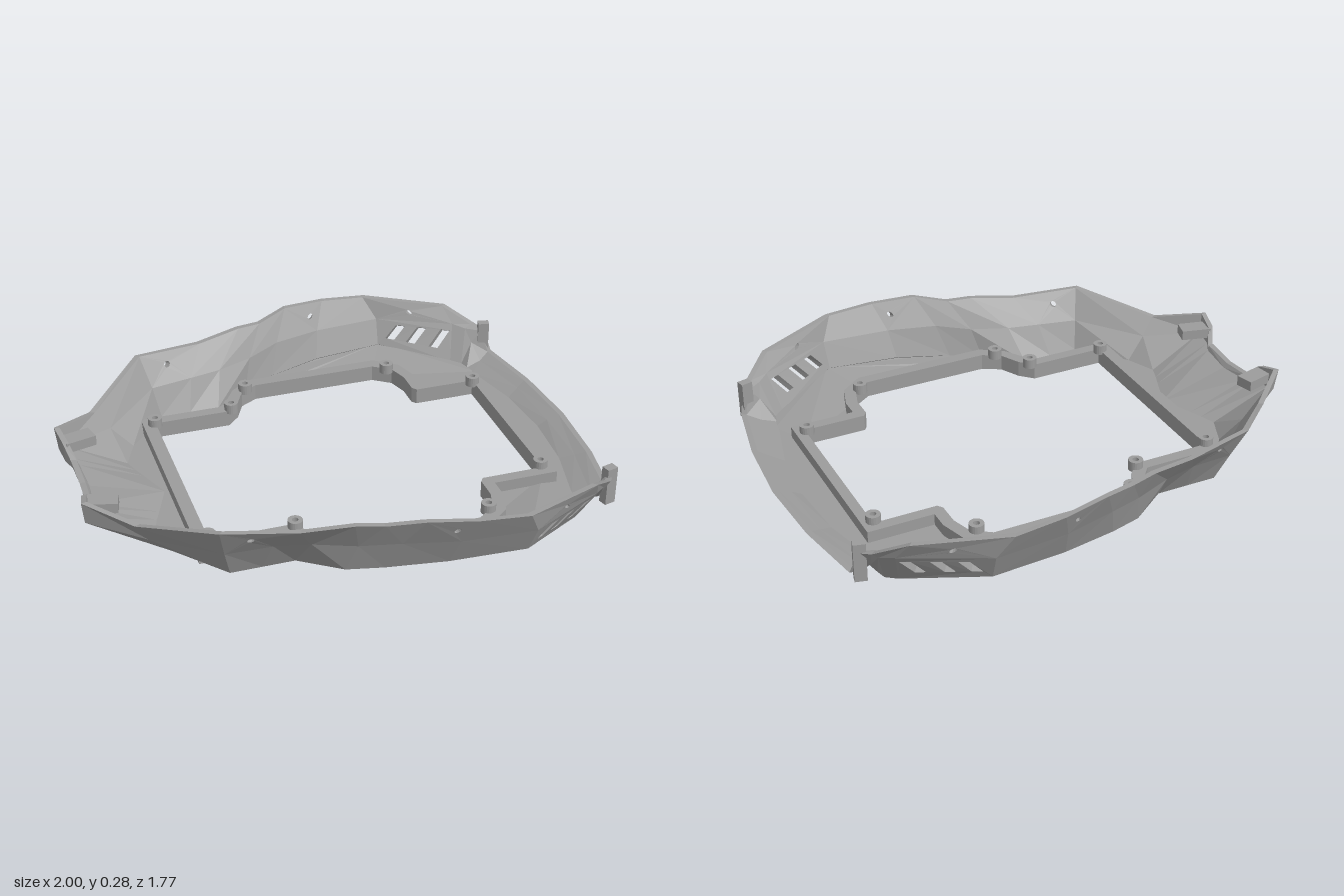
import * as THREE from 'three';
import { mergeGeometries } from 'three/addons/utils/BufferGeometryUtils.js';

const V = (x, y, z) => new THREE.Vector3(x, y, z);
// the floor lifts slightly towards the wide sides
const lift = (z) => 0.04 * Math.min(1, Math.max(0, (Math.abs(z) - 0.65) / 0.14));

// wall stations from the front lip round to the back: base (x, z), middle and rim (x, y, z)
const stations = [
  [[0.90, 0], [0.95, 0.03, 0], [0.995, 0.06, 0]],
  [[0.88, 0.25], [0.94, 0.03, 0.28], [0.975, 0.06, 0.30]],
  [[0.82, 0.49], [0.88, 0.03, 0.55], [0.925, 0.06, 0.58]],
  [[0.81, 0.54], [0.86, 0.09, 0.61], [0.90, 0.15, 0.61]],
  [[0.80, 0.58], [0.845, 0.14, 0.65], [0.87, 0.165, 0.655]],
  [[0.76, 0.61], [0.80, 0.15, 0.69], [0.77, 0.225, 0.745]],
  [[0.49, 0.79], [0.50, 0.15, 0.84], [0.45, 0.25, 0.885]],
  [[0.20, 0.765], [0.22, 0.15, 0.82], [0.26, 0.265, 0.88]],
  [[-0.02, 0.71], [0.02, 0.15, 0.77], [0.08, 0.275, 0.845]],
  [[-0.15, 0.66], [-0.12, 0.13, 0.71], [-0.05, 0.25, 0.79]],
  [[-0.30, 0.55], [-0.27, 0.13, 0.65], [-0.15, 0.255, 0.765]],
  [[-0.42, 0.55], [-0.40, 0.13, 0.62], [-0.33, 0.237, 0.72]],
  [[-0.54, 0.55], [-0.57, 0.12, 0.60], [-0.60, 0.25, 0.66]],
  [[-0.70, 0.36], [-0.79, 0.09, 0.39], [-0.84, 0.17, 0.41]],
  [[-0.75, 0.24], [-0.99, 0.12, 0.26], [-1.0, 0.21, 0.27]],
  [[-0.73, 0.18], [-0.98, 0.11, 0.18], [-0.985, 0.19, 0.19]],
  [[-0.71, 0.13], [-0.96, 0.10, 0.14], [-0.965, 0.13, 0.15]],
  [[-0.66, 0], [-0.95, 0.09, 0], [-0.96, 0.12, 0]],
];

// closed cross-section: up the outside, over the rim, down the inside
const sections = stations.map(([b, m, r]) => {
  const outer = [V(b[0], lift(b[1]), b[1]), V(...m), V(...r)];
  const inner = outer.map((p, i) => {
    const d = V(-p.x, 0, -p.z).normalize().multiplyScalar([0.015, 0.025, 0.022][i]);
    return p.clone().add(d).add(V(0, [0.02, 0.012, 0][i], 0));
  });
  return [...outer, ...inner.reverse()];
});

// reverse the corner order of a non-indexed geometry
function flip(geo) {
  const p = geo.attributes.position, a = V(), b = V();
  for (let i = 0; i < p.count; i += 3) {
    a.fromBufferAttribute(p, i + 1);
    b.fromBufferAttribute(p, i + 2);
    p.setXYZ(i + 1, b.x, b.y, b.z);
    p.setXYZ(i + 2, a.x, a.y, a.z);
  }
  geo.computeVertexNormals();
  return geo;
}

const path = (points) => new THREE.Path(points.map((p) => new THREE.Vector2(...p)));
const slot = (u) => path([[u, 0.82], [u + 0.12, 0.82], [u + 0.27, 0.3], [u + 0.15, 0.3]]);
const dot = (u, v, w, h) => {
  const pts = [];
  for (let i = 0; i < 10; i++) {
    const t = (i / 10) * Math.PI * 2;
    pts.push([u + w * Math.cos(t), v + h * Math.sin(t)]);
  }
  return path(pts);
};
// pierced wall panels, keyed by station and row
const pierced = {
  '5,0': [slot(0.03), slot(0.34), slot(0.62)],
  '5,1': [dot(0.5, 0.45, 0.035, 0.13)],
  '7,1': [dot(0.25, 0.55, 0.06, 0.1)],
  '11,1': [dot(0.57, 0.6, 0.055, 0.1)],
};

// a unit slab with holes, mapped between the inner and outer skins
function panel(i, k, holes) {
  const shape = new THREE.Shape(path([[0, 0], [1, 0], [1, 1], [0, 1]]).getPoints());
  shape.holes = holes;
  const geo = new THREE.ExtrudeGeometry(shape, { depth: 1, bevelEnabled: false });
  geo.deleteAttribute('uv');
  const p = geo.attributes.position, a = sections[i], b = sections[i + 1];
  const at = (lo, up, u, v) =>
    a[lo].clone().lerp(b[lo], u).lerp(a[up].clone().lerp(b[up], u), v);
  for (let n = 0; n < p.count; n++) {
    const u = p.getX(n), v = p.getY(n), w = p.getZ(n);
    const q = at(5 - k, 4 - k, u, v).lerp(at(k, k + 1, u, v), w);
    p.setXYZ(n, q.x, q.y, q.z);
  }
  return flip(geo);
}

function wallHalf() {
  const pos = [], parts = [];
  for (let i = 0; i < sections.length - 1; i++) {
    const a = sections[i], b = sections[i + 1];
    for (let k = 0; k < 6; k++) {
      const row = k < 2 ? k : 4 - k;
      if (k !== 2 && k !== 5 && pierced[`${i},${row}`]) continue;
      const n = (k + 1) % 6;
      for (const q of [a[k], a[n], b[n], a[k], b[n], b[k]]) pos.push(q.x, q.y, q.z);
    }
  }
  const geo = new THREE.BufferGeometry();
  geo.setAttribute('position', new THREE.Float32BufferAttribute(pos, 3));
  geo.computeVertexNormals();
  parts.push(geo);
  for (const key in pierced) parts.push(panel(...key.split(',').map(Number), pierced[key]));
  return mergeGeometries(parts);
}

// half outline (z >= 0) closed by its mirror image
const closed = (half) => [...half, ...half.filter((p) => p[1] > 0).reverse().map(([x, z]) => [x, -z])];

function plate(outer, hole, depth) {
  const shape = new THREE.Shape(closed(outer).map((p) => new THREE.Vector2(...p)));
  shape.holes.push(path(closed(hole)));
  return new THREE.ExtrudeGeometry(shape, { depth, bevelEnabled: false }).rotateX(-Math.PI / 2);
}

export function createModel() {
  const model = new THREE.Group();
  const grey = new THREE.MeshStandardMaterial({ color: 0x9c9c9c });
  grey.name = 'grey plastic';
  const add = (name, geo, x = 0, y = 0, z = 0) => {
    const mesh = new THREE.Mesh(geo, grey);
    mesh.name = name;
    mesh.position.set(x, y, z);
    model.add(mesh);
    return mesh;
  };

  // faceted side walls
  add('leftWall', wallHalf());
  add('rightWall', flip(wallHalf().scale(1, 1, -1)));

  // floor around the stepped opening
  const opening = [[0.745, 0.35], [0.5, 0.35], [0.485, 0.37], [0.485, 0.46], [0.46, 0.54],
    [0.39, 0.59], [-0.12, 0.59], [-0.19, 0.55], [-0.23, 0.47], [-0.28, 0.42], [-0.58, 0.42]];
  const frameEdge = [[0.785, 0.395], [0.53, 0.395], [0.53, 0.47], [0.5, 0.57], [0.41, 0.64],
    [-0.13, 0.64], [-0.22, 0.58], [-0.27, 0.5], [-0.3, 0.465], [-0.63, 0.465]];
  const floor = plate(stations.map((s) => s[0]), opening, 0.02);
  const p = floor.attributes.position;
  for (let i = 0; i < p.count; i++) p.setY(i, p.getY(i) + lift(p.getZ(i)));
  floor.computeVertexNormals();
  add('floor', floor);

  // raised frame along the opening
  add('openingFrame', plate(frameEdge, opening, 0.065));

  // hollow screw bosses on the frame
  const ring = [[0.012, 0], [0.028, 0], [0.028, 0.04], [0.012, 0.04], [0.012, 0]];
  const boss = new THREE.LatheGeometry(ring.map((q) => new THREE.Vector2(...q)), 20).toNonIndexed();
  boss.computeVertexNormals();
  for (const s of [1, -1]) {
    for (const [x, z] of [[-0.583, 0.415], [-0.265, 0.437], [-0.17, 0.57], [0.438, 0.55], [0.74, 0.338]]) {
      add('screwBoss', boss, x, 0.055, s * z);
    }
    // upright posts at the ends of the front lip
    add('frontPost', new THREE.BoxGeometry(0.045, 0.15, 0.035), 0.893, 0.113, s * 0.6).rotation.y = s * 0.25;
    // folded tabs inside the back corners
    add('backTab', new THREE.BoxGeometry(0.12, 0.04, 0.07), -0.92, 0.165, s * 0.225).rotation.y = s * -0.25;
  }
  return model;
}
